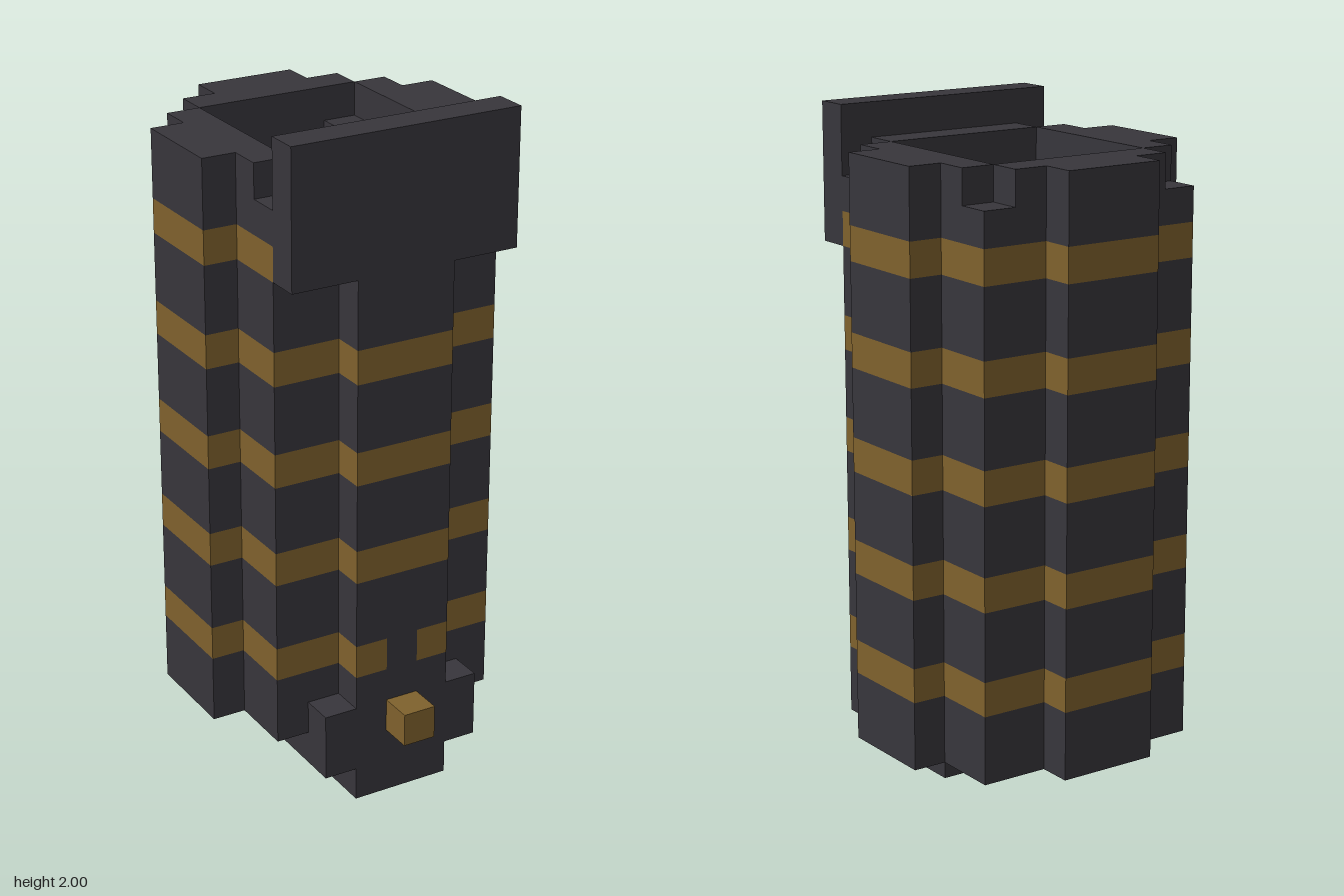
import * as THREE from 'three';

export function createModel() {
  const model = new THREE.Group();
  model.name = 'bandedTower';

  const dark = new THREE.MeshStandardMaterial({ color: 0x38363c });
  dark.name = 'charcoal';
  const gold = new THREE.MeshStandardMaterial({ color: 0x80622d });
  gold.name = 'bronze';

  const add = (name, geometry, material) => {
    const mesh = new THREE.Mesh(geometry, material);
    mesh.name = name;
    model.add(mesh);
    return mesh;
  };

  // Box given by its extents on each axis
  const box = (name, [x0, x1], [y0, y1], [z0, z1], material) => {
    const g = new THREE.BoxGeometry(x1 - x0, y1 - y0, z1 - z0);
    g.translate((x0 + x1) / 2, (y0 + y1) / 2, (z0 + z1) / 2);
    return add(name, g, material);
  };

  // Plan outlines as [x, z], right half from front to back
  const outer = [[0.15, 0.4], [0.15, 0.3], [0.35, 0.3], [0.35, 0.1], [0.45, 0.1],
    [0.45, -0.2], [0.35, -0.2], [0.35, -0.4], [0.15, -0.4], [0.15, -0.5]];
  const inner = [[0.15, 0.2], [0.15, 0.1], [0.25, 0.1], [0.25, -0.2], [0.15, -0.2], [0.15, -0.3]];

  const mirrored = (half) => [...half, ...half.map(([x, z]) => [-x, z]).reverse()];
  const toPoints = (list) => list.map(([x, z]) => new THREE.Vector2(x, -z));

  // One horizontal layer of the tower wall
  const band = (name, shape, y0, y1, material) => {
    const g = new THREE.ExtrudeGeometry(shape, { depth: y1 - y0, bevelEnabled: false });
    g.rotateX(-Math.PI / 2);
    g.translate(0, y0, 0);
    return add(name, g, material);
  };
  const ring = (half) => {
    const shape = new THREE.Shape(toPoints(mirrored(half)));
    shape.holes.push(new THREE.Path(toPoints(mirrored(inner))));
    return shape;
  };

  const fullRing = ring(outer);
  const upperRing = ring(outer.slice(2)); // leaves room for the front plate
  const slottedRing = new THREE.Shape(toPoints([
    ...mirrored([[0.05, 0.4], ...outer]),
    ...mirrored([[0.05, 0.2], ...inner]).reverse(),
  ]));

  // Tower wall: dark layers with five stripes
  band('lowerWall', fullRing, 0.2, 0.4, dark);
  for (let i = 0; i < 5; i++) {
    const y = 0.4 + i * 0.3;
    const top = i === 4;
    band('stripe', i === 0 ? slottedRing : top ? upperRing : fullRing, y, y + 0.1, gold);
    band('wall', top ? upperRing : fullRing, y + 0.1, top ? 1.8 : y + 0.3, dark);
  }

  // Rim with open corners
  const rimY = [1.8, 1.9];
  box('frontRim', [-0.25, 0.25], rimY, [0.2, 0.3], dark);
  box('backRim', [-0.25, 0.25], rimY, [-0.4, -0.3], dark);
  box('backRimStep', [-0.15, 0.15], rimY, [-0.5, -0.4], dark);
  for (const s of [-1, 1]) {
    const span = (a, b) => (s > 0 ? [a, b] : [-b, -a]);
    box('sideRim', span(0.25, 0.35), rimY, [-0.3, 0.2], dark);
    box('sideRimStep', span(0.35, 0.45), rimY, [-0.2, 0.1], dark);
  }
  // Small corner pieces of the rim step
  for (const s of [-1, 1]) {
    const x = s > 0 ? [0.15, 0.35] : [-0.35, -0.15];
    box('backCornerWall', x, [1.7, 1.8], [-0.4, -0.3], dark);
  }

  // Front plate, foot and knob
  box('frontPlate', [-0.35, 0.35], [1.6, 2], [0.3, 0.4], dark);
  box('foot', [-0.25, 0.25], [0.1, 0.3], [0.1, 0.4], dark);
  box('footTip', [-0.15, 0.15], [0, 0.1], [0.1, 0.4], dark);
  box('knob', [-0.05, 0.05], [0.2, 0.3], [0.4, 0.5], gold);

  // Catch filling the gap in the lowest stripe
  box('catch', [-0.05, 0.05], [0.4, 0.5], [0.1, 0.4], dark);
  box('catchBase', [-0.05, 0.05], [0.3, 0.4], [0.1, 0.2], dark);

  return model;
}
